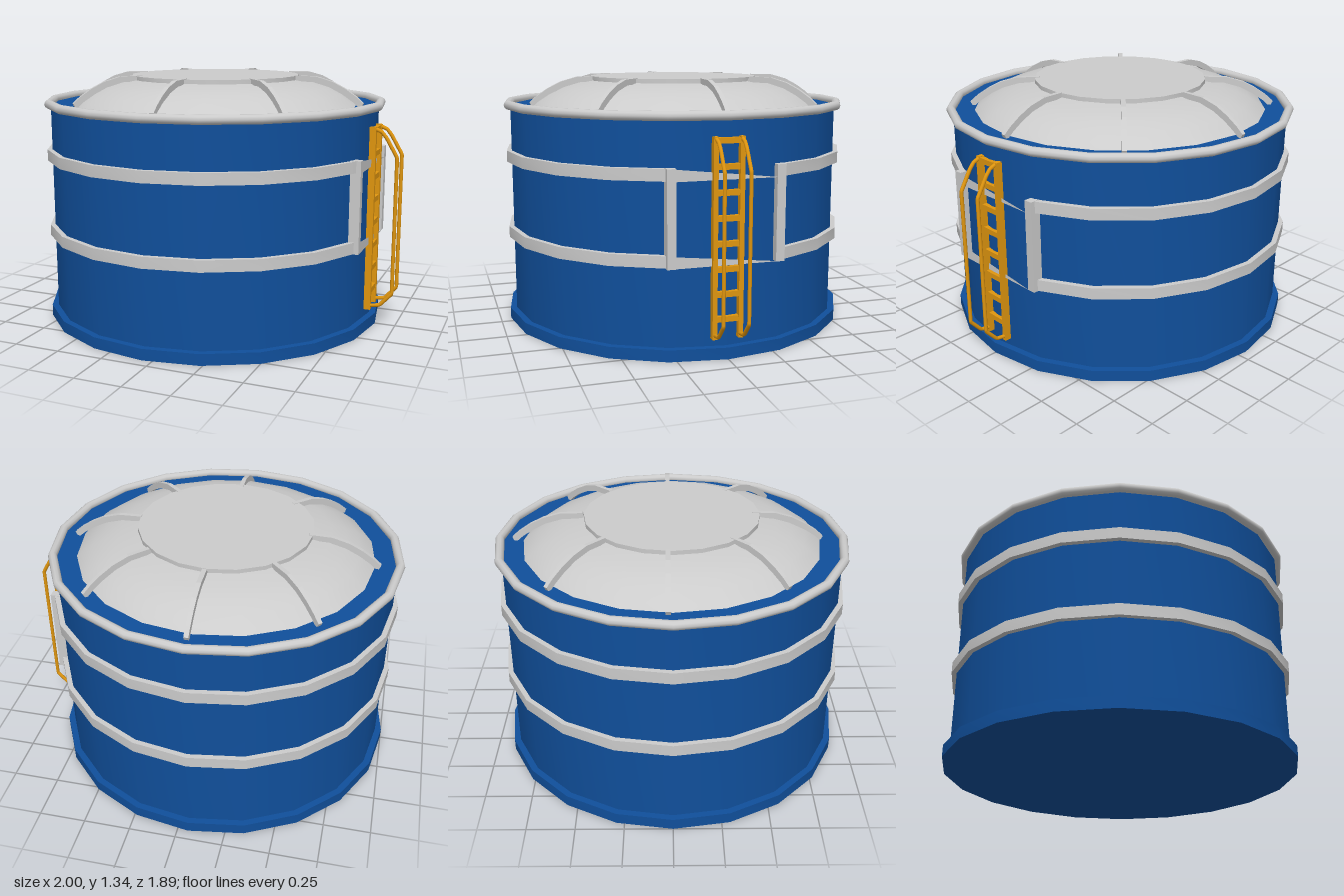
import * as THREE from 'three';
import { toCreasedNormals } from 'three/addons/utils/BufferGeometryUtils.js';

const SIDES = 20;
const STEP = (Math.PI * 2) / SIDES;
const grey = new THREE.MeshStandardMaterial({ color: 0xcccccc });
const greyThin = new THREE.MeshStandardMaterial({ color: 0xcccccc, side: THREE.DoubleSide });
const blue = new THREE.MeshStandardMaterial({ color: 0x104f9b });
const orange = new THREE.MeshStandardMaterial({ color: 0xe0960f });

function add(parent, name, geometry, material, x = 0, y = 0, z = 0) {
  const mesh = new THREE.Mesh(geometry, material);
  mesh.name = name;
  mesh.position.set(x, y, z);
  parent.add(mesh);
  return mesh;
}

// Revolved profile of [radius, height] pairs, round sides smooth and corners sharp
function revolve(profile, segments = SIDES, start = 0, length = Math.PI * 2) {
  const points = profile.map(([r, y]) => new THREE.Vector2(r, y));
  return toCreasedNormals(new THREE.LatheGeometry(points, segments, start, length), 0.5);
}

// Curved bar seen from the side, extruded to its width
function ribGeometry() {
  const top = [[0.83, 1.2], [0.79, 1.235], [0.73, 1.275], [0.66, 1.31], [0.57, 1.335], [0.45, 1.338]];
  const bottom = top.map(([r, y]) => [r - 0.015, y - 0.03]).reverse();
  const shape = new THREE.Shape([...top, ...bottom].map(([r, y]) => new THREE.Vector2(r, y)));
  return new THREE.ExtrudeGeometry(shape, { depth: 0.024, bevelEnabled: false }).translate(0, 0, -0.012);
}

export function createModel() {
  const model = new THREE.Group();
  model.name = 'storageTank';
  const tank = new THREE.Group();
  tank.name = 'tank';
  tank.position.x = -0.055;
  model.add(tank);

  // Shell with base skirt and flat deck
  add(tank, 'shell', revolve([
    [0, 0], [0.945, 0], [0.945, 0.06], [0.91, 0.06], [0.91, 1.18], [0, 1.18],
  ]), blue);
  add(tank, 'topRim', new THREE.TorusGeometry(0.921, 0.024, 10, SIDES).rotateX(Math.PI / 2), grey, 0, 1.188, 0);

  // Domed roof with a flat lid
  add(tank, 'domeRoof', revolve([
    [0.8, 1.175], [0.765, 1.205], [0.71, 1.24], [0.64, 1.272], [0.56, 1.297], [0.465, 1.313],
  ]), grey);
  add(tank, 'roofLid', revolve([[0.465, 1.305], [0.465, 1.335], [0, 1.335]]), grey);

  // Eight arched roof ribs
  const ribs = new THREE.Group();
  ribs.name = 'roofRibs';
  ribs.position.set(0.008, 0, -0.022);
  tank.add(ribs);
  const rib = ribGeometry();
  for (let i = 0; i < 8; i++) add(ribs, 'roofRib', rib, grey).rotation.y = (i * Math.PI) / 4;

  // Two hoops, broken behind the ladder, with a tapering strip across each gap
  for (const y of [0.495, 0.913]) {
    const h = 0.03;
    add(tank, 'hoopBand', revolve([
      [0.9, -h], [0.937, -h], [0.937, h], [0.9, h], [0.9, -h],
    ], SIDES - 2, Math.PI / 2 + STEP, STEP * (SIDES - 2)), grey, 0, y, 0);
    const strip = new THREE.BufferGeometry().setFromPoints([
      new THREE.Vector3(0, h, 0.27), new THREE.Vector3(0, -h, 0.27), new THREE.Vector3(0, -h, -0.27),
    ]);
    strip.computeVertexNormals();
    add(tank, 'hoopStrip', strip, greyThin, 0.912, y, 0);
  }
  for (const s of [-1, 1]) {
    add(tank, 'hoopPost', new THREE.BoxGeometry(0.056, 0.482, 0.045), grey, 0.882, 0.704, s * 0.278);
  }

  // Ladder with rungs and two bent handrails
  const ladder = new THREE.Group();
  ladder.name = 'ladder';
  model.add(ladder);
  const path = new THREE.CurvePath();
  const bends = [[0.86, 1.085], [0.905, 1.065], [0.93, 1.035], [0.988, 0.935], [0.988, 0.2], [0.925, 0.13], [0.86, 0.12]]
    .map(([x, y]) => new THREE.Vector3(x, y, 0));
  for (let i = 1; i < bends.length; i++) path.add(new THREE.LineCurve3(bends[i - 1], bends[i]));
  const handrail = new THREE.TubeGeometry(path, 90, 0.01, 8);
  for (const s of [-1, 1]) {
    add(ladder, 'ladderRail', new THREE.BoxGeometry(0.036, 0.99, 0.024), orange, 0.859, 0.595, s * 0.067);
    add(ladder, 'ladderHandrail', handrail, orange, 0, 0, s * 0.065);
  }
  for (let i = 0; i < 8; i++) {
    add(ladder, 'ladderRung', new THREE.BoxGeometry(0.028, 0.028, 0.134), orange, 0.86, 0.2 + i * 0.1245, 0);
  }
  return model;
}
